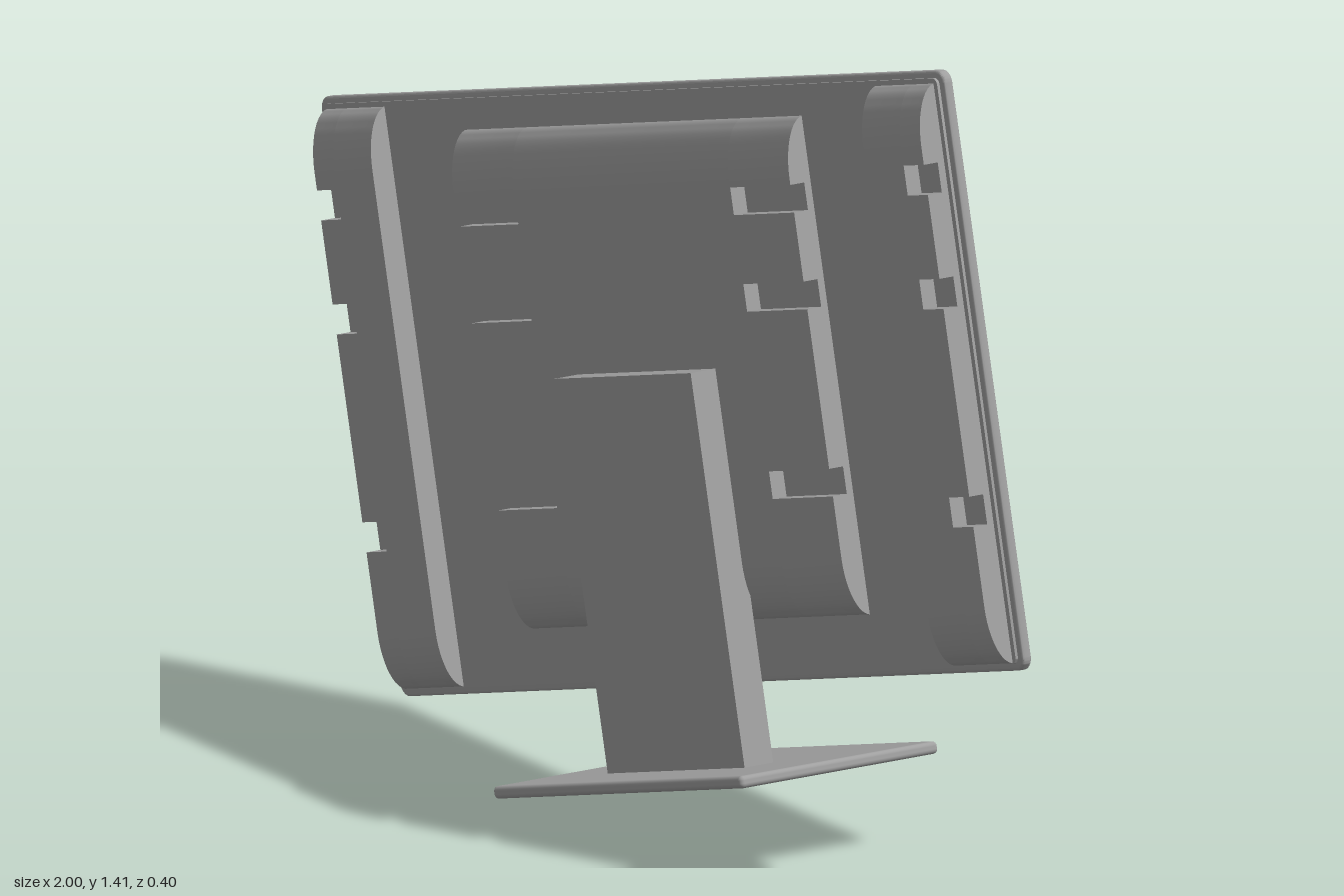
import * as THREE from 'three';
import { toCreasedNormals } from 'three/addons/utils/BufferGeometryUtils.js';
import { RoundedBoxGeometry } from 'three/addons/geometries/RoundedBoxGeometry.js';

const TILT = Math.atan2(0.24, 1);
const POD_BACK = 0.028, POD_BASE = -0.017, SLOT_FLOOR = 0;

export function createModel() {
  const grey = new THREE.MeshStandardMaterial({ color: 0xa0a0a0 });
  grey.name = 'grey plastic';

  const model = new THREE.Group();
  model.name = 'television';
  model.rotation.z = TILT;
  model.position.y = 0.72;

  function add(name, geometry, x = 0, y = 0, z = 0) {
    const mesh = new THREE.Mesh(geometry, grey);
    mesh.name = name;
    mesh.position.set(x, y, z);
    model.add(mesh);
    return mesh;
  }

  // Box given by its limits
  function addBox(name, x0, x1, y0, y1, z0, z1) {
    const box = new THREE.BoxGeometry(x1 - x0, y1 - y0, z1 - z0);
    return add(name, box, (x0 + x1) / 2, (y0 + y1) / 2, (z0 + z1) / 2);
  }

  // Upright plate with rounded corners and a softened rim
  function roundedPlate(halfW, halfH, radius, depth, bevel) {
    const w = halfW - bevel, h = halfH - bevel, r = radius - bevel;
    const shape = new THREE.Shape();
    shape.absarc(w - r, h - r, r, 0, Math.PI / 2);
    shape.absarc(-w + r, h - r, r, Math.PI / 2, Math.PI);
    shape.absarc(-w + r, -h + r, r, Math.PI, Math.PI * 1.5);
    shape.absarc(w - r, -h + r, r, Math.PI * 1.5, Math.PI * 2);
    const geometry = new THREE.ExtrudeGeometry(shape, {
      depth: depth - 2 * bevel, bevelEnabled: bevel > 0,
      bevelThickness: bevel, bevelSize: bevel, bevelSegments: 3, curveSegments: 6,
    });
    geometry.translate(0, 0, bevel);
    return toCreasedNormals(geometry, 0.6);
  }

  // Side profile of a pod: rounded top and bottom, slots cut in the flat back
  function podColumn(x0, x1, bottom, top, slots, slotHeight) {
    const curve = 0.1, steps = 12, points = [];
    const arc = (i) => (i / steps) * Math.PI / 2;
    const depth = POD_BACK - POD_BASE;
    for (let i = 0; i <= steps; i++) {
      points.push([POD_BASE + depth * Math.sin(arc(i)), top - curve + curve * Math.cos(arc(i))]);
    }
    for (const y of slots) {
      const a = y + slotHeight / 2, b = y - slotHeight / 2;
      points.push([POD_BACK, a], [SLOT_FLOOR, a], [SLOT_FLOOR, b], [POD_BACK, b]);
    }
    for (let i = steps; i >= 0; i--) {
      points.push([POD_BASE + depth * Math.sin(arc(i)), bottom + curve - curve * Math.cos(arc(i))]);
    }
    const shape = new THREE.Shape(points.map(([z, y]) => new THREE.Vector2(-z, y)));
    const geometry = new THREE.ExtrudeGeometry(shape, { depth: x1 - x0, bevelEnabled: false });
    geometry.rotateY(Math.PI / 2);
    geometry.translate(x0, 0, 0);
    return toCreasedNormals(geometry, 0.5);
  }

  // Screen body: rimmed plate and a slightly smaller back cover
  add('panel', roundedPlate(0.911, 0.5, 0.022, 0.018, 0.004), 0, 0, -0.036);
  add('backCover', roundedPlate(0.897, 0.488, 0.012, 0.006, 0), 0, 0, -0.019);

  // Face: centre and two speaker panels, parted by narrow grooves
  addBox('screenSurround', -0.687, 0.687, -0.488, 0.488, -0.038, -0.035);
  for (const side of [-1, 1]) {
    const mid = side * 0.795;
    addBox('speakerPanel', mid - 0.102, mid + 0.102, -0.488, 0.488, -0.038, -0.035);
  }
  addBox('screenFrame', -0.635, 0.635, -0.405, 0.443, -0.0386, -0.037);
  addBox('screen', -0.583, 0.583, -0.354, 0.392, -0.0391, -0.038);
  addBox('badge', -0.075, 0.075, -0.462, -0.434, -0.042, -0.037);

  // Central pod with slots opening at both ends
  const podSlots = [0.303, 0.142, -0.17];
  add('centrePod', podColumn(-0.315, 0.315, -0.396, 0.436, [], 0));
  add('centrePodRightEnd', podColumn(-0.491, -0.315, -0.396, 0.436, podSlots, 0.046));
  add('centrePodLeftEnd', podColumn(0.315, 0.491, -0.396, 0.436, podSlots, 0.046));

  // Side pods with short slots on the outer edge
  const sideSlots = [0.325, 0.135, -0.228];
  for (const side of [-1, 1]) {
    const span = (a, b) => (side > 0 ? [a, b] : [-b, -a]);
    add('sidePod', podColumn(...span(0.718, 0.828), -0.487, 0.48, [], 0));
    add('sidePodEdge', podColumn(...span(0.828, 0.887), -0.487, 0.48, sideSlots, 0.05));
  }

  // Stand
  addBox('standNeck', -0.2, 0.2, -0.635, 0.027, 0.02, 0.078);
  add('standBase', new RoundedBoxGeometry(0.726, 0.021, 0.4, 3, 0.008), 0, -0.641, 0);

  const root = new THREE.Group();
  root.name = 'tiltedTelevision';
  root.add(model);
  return root;
}
